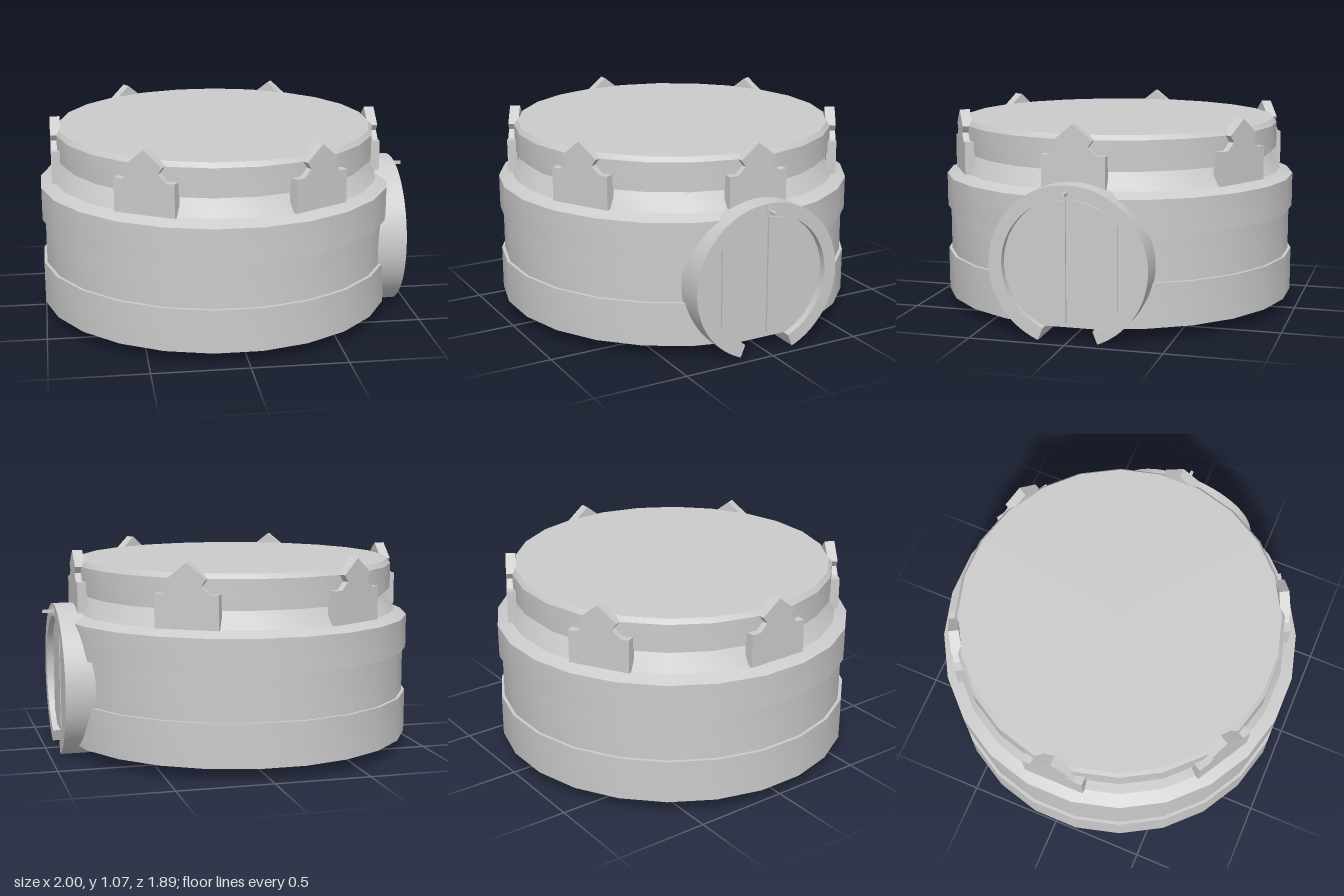
import * as THREE from 'three';
import { toCreasedNormals } from 'three/addons/utils/BufferGeometryUtils.js';

const CX = -0.055;   // drum axis
const DOOR_Y = 0.385; // hatch centre height
const material = new THREE.MeshStandardMaterial({ color: 0xcccccc, side: THREE.DoubleSide });

function add(parent, name, geometry) {
  const mesh = new THREE.Mesh(toCreasedNormals(geometry, 0.5), material);
  mesh.name = name;
  parent.add(mesh);
  return mesh;
}

// Extrudes a shape drawn in (sideways, up) so that it spans x0..x1
function slab(shape, x0, x1) {
  return new THREE.ExtrudeGeometry(shape, { depth: x1 - x0, bevelEnabled: false, curveSegments: 40 })
    .translate(0, 0, x0)
    .rotateY(Math.PI / 2);
}

export function createModel() {
  const model = new THREE.Group();

  // Open-bottomed 24-sided shell with a recessed waist, sloped collar and flat lid
  const profile = [
    [0.955, 0.07], [0.955, 0.3], [0.938, 0.3], [0.938, 0.54], [0.955, 0.54], [0.955, 0.72],
    [0.888, 0.75], [0.835, 0.84], [0.835, 0.865], [0.863, 0.865], [0.863, 1.0], [0.845, 1.025], [0, 1.025],
  ].map(([r, y]) => new THREE.Vector2(r, y));
  add(model, 'drum', new THREE.LatheGeometry(profile, 24, Math.PI / 24)).position.x = CX;

  // Six gabled buttresses around the collar
  const half = [[0.165, 0.75], [0.165, 0.925], [0.118, 0.925], [0.075, 0.965], [0.1, 1.0]];
  const outline = [...half, [0, 1.08], ...half.map(([x, y]) => [-x, y]).reverse()];
  const buttressShape = new THREE.Shape(outline.map(([x, y]) => new THREE.Vector2(x, y)));
  for (let i = 0; i < 6; i++) {
    const buttress = add(model, 'buttress', slab(buttressShape, 0.835, 0.889));
    buttress.position.x = CX;
    buttress.rotation.y = i * Math.PI / 3;
  }

  // Round hatch on the left side
  const hatch = new THREE.Group();
  hatch.name = 'hatch';
  hatch.position.y = DOOR_Y;
  model.add(hatch);

  // Ring frame, open at the bottom
  const gap = 0.386, start = -Math.PI / 2 + gap, end = Math.PI * 1.5 - gap;
  const ring = new THREE.Shape();
  ring.absarc(0, 0, 0.41, start, end, false);
  ring.absarc(0, 0, 0.342, end, start, true);
  add(hatch, 'hatchFrame', slab(ring, 0.68, 0.94));

  // Backing plate, flat along the bottom
  const flat = Math.asin(0.315 / 0.342);
  const plate = new THREE.Shape();
  plate.absarc(0, 0, 0.342, -flat, Math.PI + flat, false);
  add(hatch, 'hatchBacking', slab(plate, 0.86, 0.9));

  // Two door leaves with arched tops
  const r = 0.33, inner = 0.017, outer = 0.25, low = -0.29;
  for (const side of [1, -1]) {
    const leaf = new THREE.Shape();
    leaf.moveTo(inner, low);
    leaf.lineTo(Math.sqrt(r * r - low * low), low);
    leaf.lineTo(outer, -Math.sqrt(r * r - outer * outer));
    leaf.absarc(0, 0, r, Math.acos(outer / r), Math.acos(inner / r), false);
    leaf.closePath();
    const points = leaf.getPoints(16).map((p) => new THREE.Vector2(p.x * side, p.y));
    add(hatch, 'doorLeaf', slab(new THREE.Shape(points), 0.89, 0.912));
  }

  // Small lamp bracket above the door
  add(hatch, 'bracketPlate', new THREE.BoxGeometry(0.012, 0.034, 0.034).translate(0.94, 0.37, 0));
  add(hatch, 'bracketRod', new THREE.BoxGeometry(0.06, 0.016, 0.016).translate(0.97, 0.37, 0));

  return model;
}
